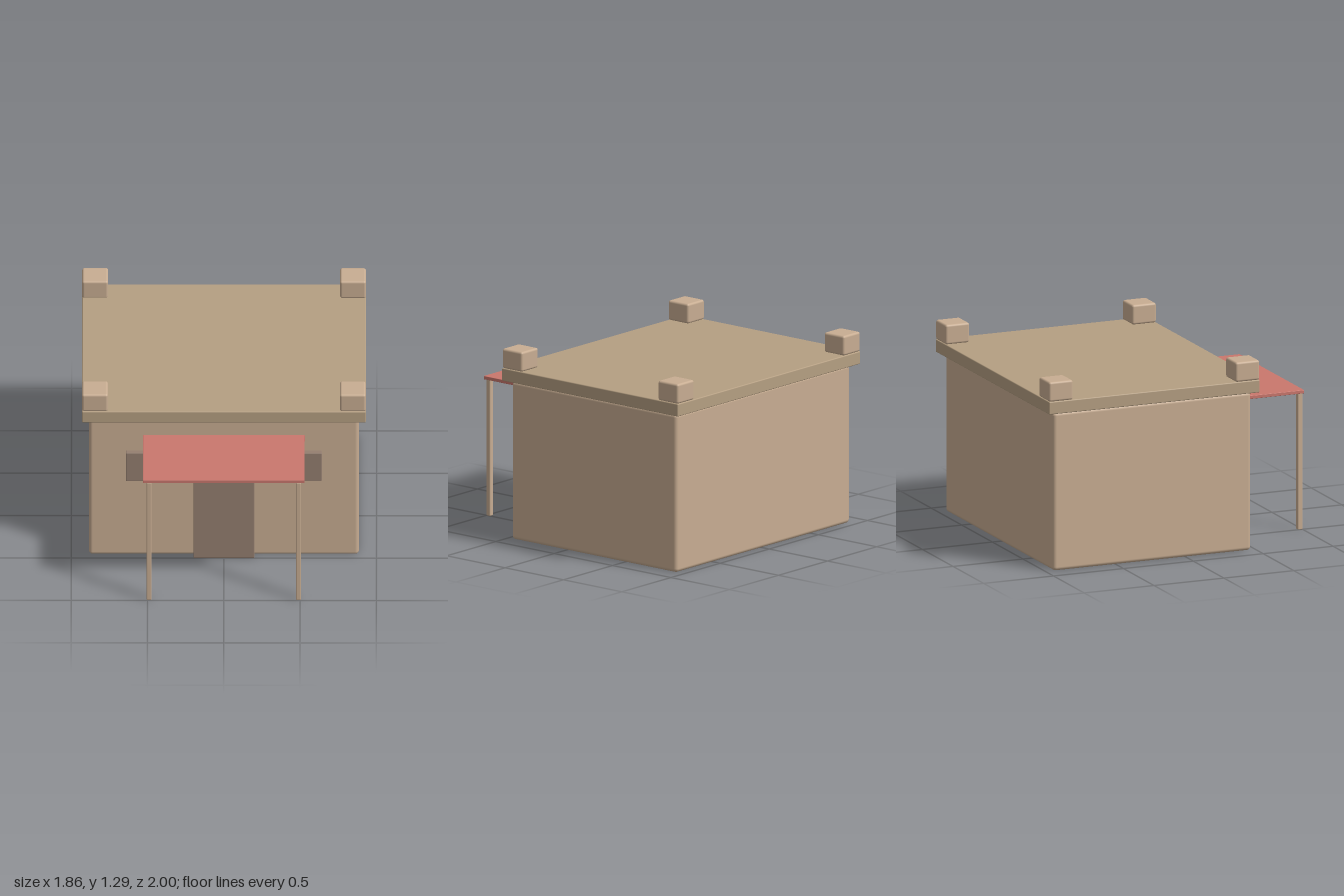
import * as THREE from 'three';
import { RoundedBoxGeometry } from 'three/addons/geometries/RoundedBoxGeometry.js';

const material = (color) => new THREE.MeshStandardMaterial({ color });

export function createModel() {
  const house = new THREE.Group();
  house.name = 'house';
  const clay = material(0xc8ad92);
  const roofClay = material(0xb59f82);
  const darkWood = material(0x957f70);
  const cloth = material(0xca776d);

  // Box from its min and max corners, with softened edges when radius > 0
  function block(name, [x0, y0, z0], [x1, y1, z1], mat, radius = 0) {
    const size = [x1 - x0, y1 - y0, z1 - z0];
    const geometry = radius
      ? new RoundedBoxGeometry(...size, 3, radius)
      : new THREE.BoxGeometry(...size);
    const mesh = new THREE.Mesh(geometry, mat);
    mesh.name = name;
    mesh.position.set((x0 + x1) / 2, (y0 + y1) / 2, (z0 + z1) / 2);
    house.add(mesh);
  }

  // Main walls and overhanging flat roof
  block('walls', [-0.885, 0, -0.95], [0.885, 1.07, 0.465], clay, 0.025);
  block('roof', [-0.93, 1.072, -1], [0.93, 1.158, 0.508], roofClay, 0.007);

  // Door and canopy
  block('door', [-0.2, 0, 0.43], [0.2, 0.845, 0.5], darkWood, 0.005);
  block('canopy', [-0.53, 0.925, 0.46], [0.53, 0.948, 1], cloth, 0.003);

  // Mirrored windows, canopy posts and roof corner blocks
  for (const [side, s] of [['left', 1], ['right', -1]]) {
    const span = (a, b) => (s > 0 ? [a, b] : [-b, -a]);
    const [w0, w1] = span(0.423, 0.642);
    block(`${side}Window`, [w0, 0.603, 0.43], [w1, 0.825, 0.497], darkWood, 0.005);
    const [p0, p1] = span(0.473, 0.507);
    block(`${side}Post`, [p0, 0, 0.964], [p1, 0.926, 0.998], clay, 0.007);
    const [c0, c1] = span(0.76, 0.93);
    for (const [end, z] of [['Front', 0.335], ['Back', -1]]) {
      block(`${side}${end}CornerBlock`, [c0, 1.157, z], [c1, 1.29, z + 0.172], clay, 0.015);
    }
  }
  return house;
}
